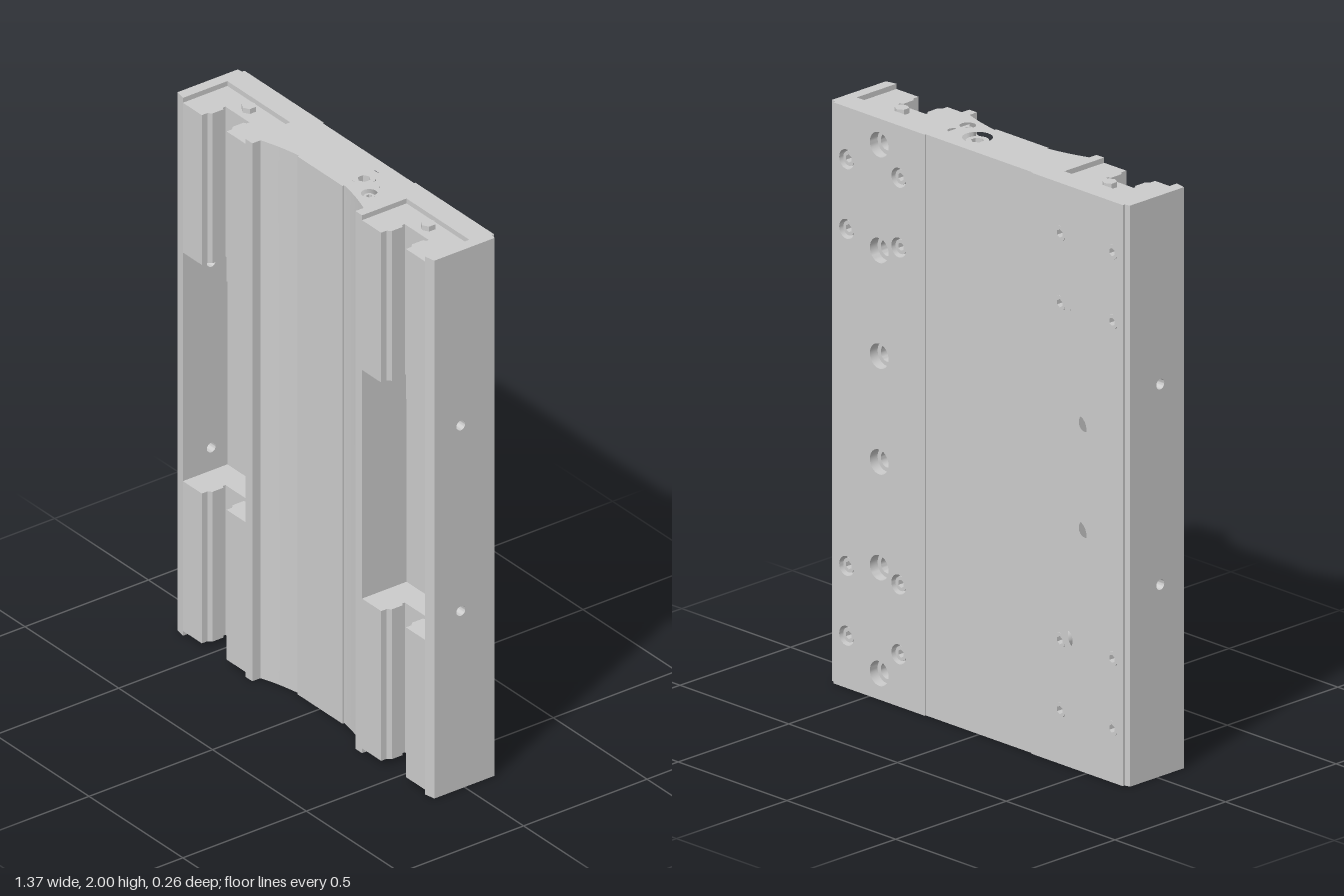
import * as THREE from 'three';
import { toCreasedNormals } from 'three/addons/utils/BufferGeometryUtils.js';

const material = new THREE.MeshStandardMaterial({ color: 0xcccccc });

// Shape from points, with round holes given as [x, y, radius]
function outline(points, holes = []) {
  const shape = new THREE.Shape(points.map(([x, y]) => new THREE.Vector2(x, y)));
  for (const [x, y, r] of holes) {
    shape.holes.push(new THREE.Path().absarc(x, y, r, 0, Math.PI * 2, true));
  }
  return shape;
}

const rect = (x0, y0, x1, y1) => [[x0, y0], [x1, y0], [x1, y1], [x0, y1]];

const extrude = (shape, depth) =>
  new THREE.ExtrudeGeometry(shape, { depth, bevelEnabled: false, curveSegments: 14 });

function add(group, name, geometry) {
  const mesh = new THREE.Mesh(toCreasedNormals(geometry, 0.5), material);
  mesh.name = name;
  group.add(mesh);
  return mesh;
}

// Section given as [x, z], extruded from y0 to y1
function upright(points, y0, y1, holes = []) {
  const shape = outline(points.map(([x, z]) => [x, -z]), holes.map(([x, z, r]) => [x, -z, r]));
  return extrude(shape, y1 - y0).rotateX(-Math.PI / 2).translate(0, y0, 0);
}

// Round plug with a hexagonal socket, built along +z
function socketPlug(radius, socket, depth) {
  const shape = new THREE.Shape().absarc(0, 0, radius, 0, Math.PI * 2, false);
  const hex = [0, 1, 2, 3, 4, 5].map((i) => {
    const a = Math.PI / 6 - i * Math.PI / 3;
    return new THREE.Vector2(socket * Math.cos(a), socket * Math.sin(a));
  });
  shape.holes.push(new THREE.Path(hex));
  return extrude(shape, depth);
}

export function createModel() {
  const model = new THREE.Group();
  model.name = 'linearGuideHousing';

  // Middle web with a shallow concave front
  const curve = new THREE.QuadraticBezierCurve(
    new THREE.Vector2(0.275, 0.097), new THREE.Vector2(0.2, 0.07), new THREE.Vector2(0.12, 0.058));
  const half = [[0.245, -0.13], [0.245, -0.05], [0.31, -0.05], [0.31, 0.13], [0.275, 0.13],
    ...curve.getPoints(8).map((p) => [p.x, p.y]), [0.12, 0.065]];
  const web = [...half, ...half.map(([x, z]) => [-x, z]).reverse()];
  const ports = [[0.11, -0.03, 0.05], [0.21, -0.04, 0.02], [0.21, 0.025, 0.027]];
  add(model, 'webBottomEnd', upright(web, 0, 0.05, [[0.11, -0.03, 0.035]]));
  add(model, 'webMiddle', upright(web, 0.05, 1.95));
  add(model, 'webTopEnd', upright(web, 1.95, 2, ports));

  // Plugs in the end ports
  const plug = (name, x, z, r, socket) =>
    add(model, name, socketPlug(r, socket, 0.04).rotateX(-Math.PI / 2).translate(x, 1.95, z));
  plug('mainPortPlug', 0.11, -0.03, 0.038, 0.022);
  plug('sidePortPlug', 0.21, 0.025, 0.018, 0.01);

  const boltRows = [0, 1, 2, 3, 4, 5].map((i) => 0.09 + i * 0.364);
  const screwRows = [0.18, 0.42, 1.58, 1.82];

  for (const s of [1, -1]) {
    const side = new THREE.Group();
    side.name = s > 0 ? 'leftSide' : 'rightSide';
    model.add(side);

    // Raised back pad: counterbore layer over a through-hole layer
    const bolts = (r) => boltRows.map((y) => [s * 0.455, y, r]);
    const screwSpots = screwRows.flatMap((y) => [[s * 0.605, y], [s * 0.365, y]]);
    const pad = rect(s * 0.245, 0, s * 0.665, 2);
    const counterbores = [...bolts(0.043), ...screwSpots.map(([x, y]) => [x, y, 0.034])];
    add(side, 'backPad', extrude(outline(pad, counterbores), 0.035).translate(0, 0, -0.135));
    add(side, 'channelFloor', extrude(outline(pad, bolts(0.028)), 0.05).translate(0, 0, -0.1));
    for (const [x, y] of screwSpots) {
      add(side, 'carriageScrew', socketPlug(0.025, 0.014, 0.025).translate(x, y, -0.125));
    }

    // Outer wall with cross holes, its outer long edges chamfered
    const wallHoles = [0.66, 1.35].map((y) => [-s * 0.015, y, 0.018]);
    const wall = extrude(outline(rect(-0.13, 0, 0.13, 2), wallHoles), 0.04);
    const pos = wall.attributes.position;
    for (let i = 0; i < pos.count; i++) {
      const edge = pos.getX(i);
      if (Math.abs(edge) > 0.12 && pos.getZ(i) > 0.03) pos.setX(i, Math.sign(edge) * 0.122);
    }
    wall.translate(0, 0, 0.645).rotateY(s * Math.PI / 2);
    add(side, 'outerWall', wall);

    // Carriages with a rail slot, and a hexagon bolt on the outer end
    const slot = [[0.066, 0.13], [0.066, 0.108], [0.054, 0.096], [0.054, 0.052],
      [0.064, 0.047], [0.064, 0.036]];
    const rail = 0.478;
    const section = [[0.31, -0.05], [0.645, -0.05], [0.645, 0.13],
      ...slot.map(([x, z]) => [rail + x, z]),
      ...slot.map(([x, z]) => [rail - x, z]).reverse(), [0.31, 0.13]].map(([x, z]) => [s * x, z]);
    for (const [y0, y1, boltY] of [[0.018, 0.575, 0.009], [1.425, 1.982, 1.991]]) {
      add(side, 'carriage', upright(section, y0, y1));
      add(side, 'hexBolt', new THREE.CylinderGeometry(0.025, 0.025, 0.018, 6)
        .translate(s * rail, boltY, -0.01));
    }
  }
  return model;
}
